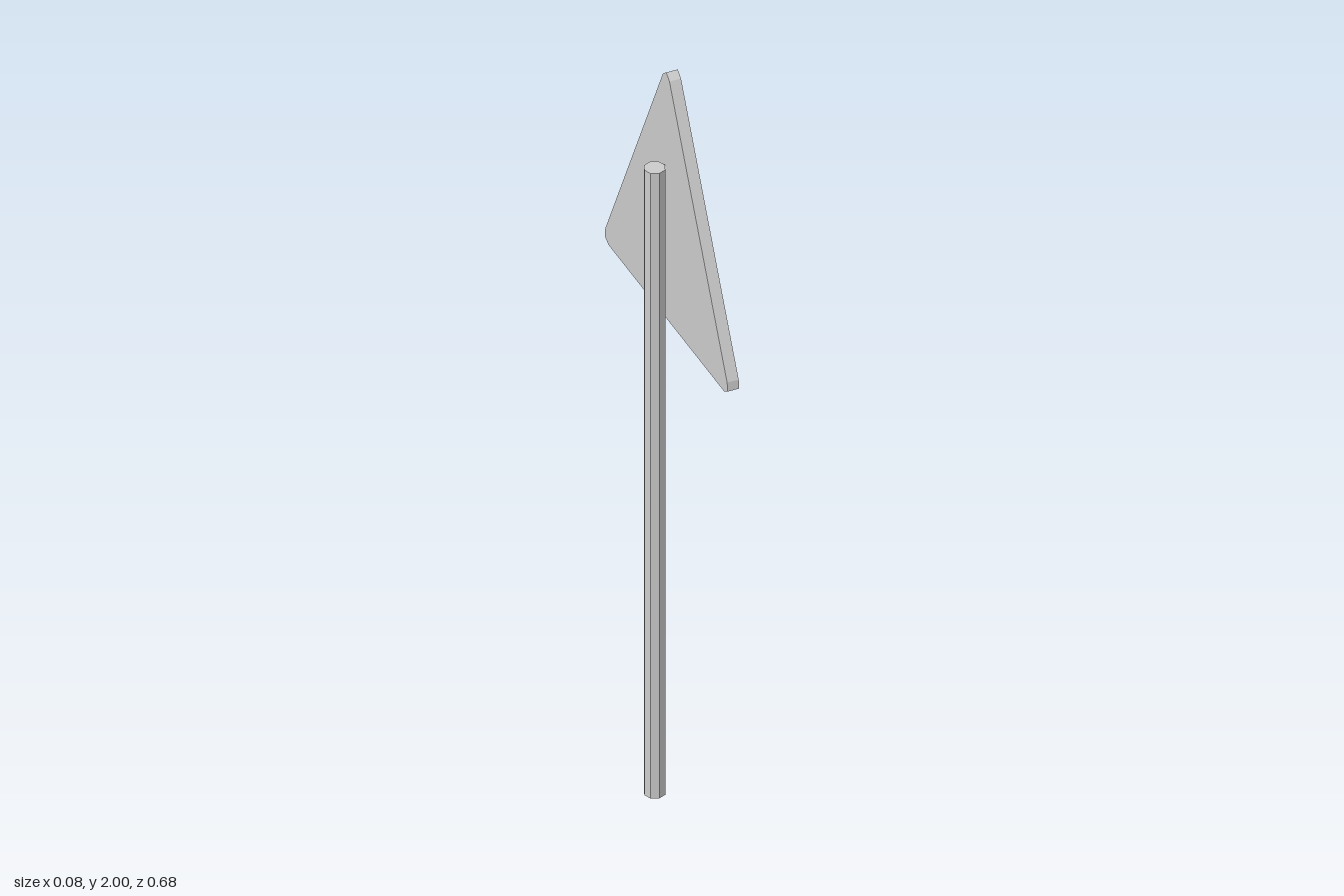
import * as THREE from 'three';

export function createModel() {
  const group = new THREE.Group();
  const material = new THREE.MeshStandardMaterial({ color: 0xcccccc, flatShading: true });

  // Octagonal pole
  const poleHeight = 1.743, poleRadius = 0.026;
  const pole = new THREE.Mesh(new THREE.CylinderGeometry(poleRadius, poleRadius, poleHeight, 8), material);
  pole.name = 'pole';
  pole.position.set(-0.016, poleHeight / 2, 0);
  group.add(pole);

  // Triangular plate with faceted corners: half outline from bottom to apex, then mirrored
  const half = [[0.322, 1.315], [0.342, 1.327], [0.339, 1.35], [0.018, 1.986]];
  const outline = [
    ...half,
    [0, 2],
    ...half.map(([z, y]) => [-z, y]).reverse(),
  ].map(([z, y]) => new THREE.Vector2(z, y));
  const plateGeometry = new THREE.ExtrudeGeometry(new THREE.Shape(outline), { depth: 0.029, bevelEnabled: false });
  plateGeometry.rotateY(-Math.PI / 2);
  const plate = new THREE.Mesh(plateGeometry, material);
  plate.name = 'signPlate';
  plate.position.x = 0.042;
  group.add(plate);

  return group;
}
